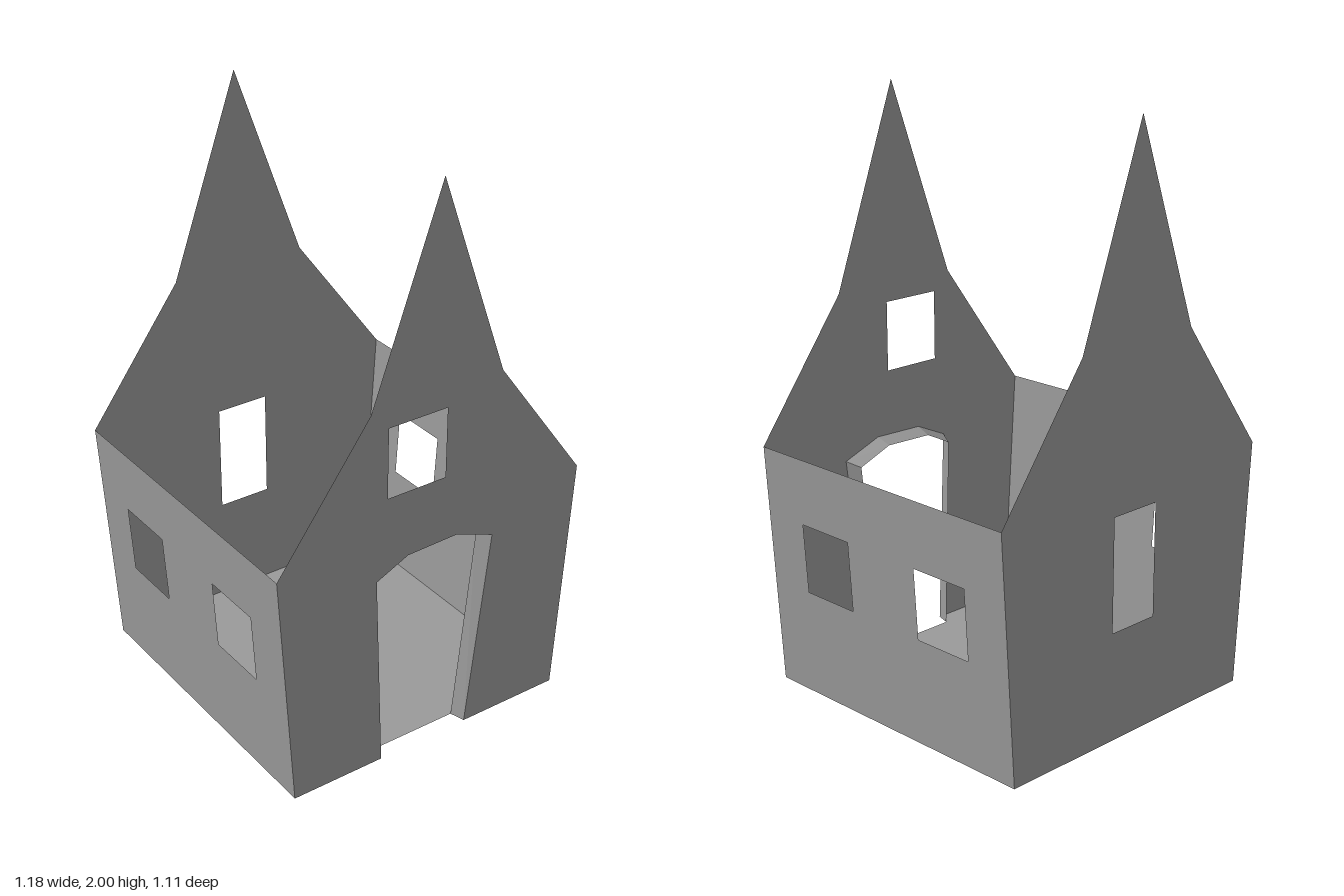
import * as THREE from 'three';

const D = 0.554;          // half depth of the house
const INNER = 0.502;      // z of the inner edge of the door reveal
const BASE = 0.533, EAVE = 0.588, EAVE_Y = 0.85;

// Door outline, left foot to right foot, at the wall face and at the inner edge
const doorOuter = [[-0.192, 0], [-0.22, 0.708], [-0.1, 0.763], [0.09, 0.768], [0.238, 0.713], [0.153, 0]];
const doorInner = [[-0.176, 0], [-0.198, 0.693], [-0.098, 0.743], [0.085, 0.748], [0.214, 0.698], [0.138, 0]];

// Gable outline from right foot over the peak to left foot
const gable = [[BASE, 0], [EAVE, EAVE_Y], [0.25, 1.307], [0, 2], [-0.25, 1.307], [-EAVE, EAVE_Y], [-BASE, 0]];

const points = list => list.map(([x, y]) => new THREE.Vector2(x, y));

function rect(x0, x1, y0, y1) {
  return new THREE.Path(points([[x0, y0], [x1, y0], [x1, y1], [x0, y1]]));
}

function panel(outline, holes = []) {
  const shape = new THREE.Shape(points(outline));
  shape.holes.push(...holes);
  return new THREE.ShapeGeometry(shape);
}

export function createModel() {
  const house = new THREE.Group();
  house.name = 'house';
  const material = new THREE.MeshStandardMaterial({
    color: 0x9a9a9a, side: THREE.DoubleSide, flatShading: true,
  });
  const add = (name, geometry) => {
    const mesh = new THREE.Mesh(geometry, material);
    mesh.name = name;
    house.add(mesh);
    return mesh;
  };

  // Front gable with the crooked doorway and an attic window
  add('frontWall', panel([...gable, ...doorOuter], [rect(-0.183, 0.038, 0.998, 1.243)])).position.z = D;

  // Back gable with one tall window
  const back = add('backWall', panel(gable, [rect(-0.095, 0.098, 0.375, 0.764)]));
  back.rotation.y = Math.PI;
  back.position.z = -D;

  // Side walls lean outward towards the eaves, two windows each
  for (const side of [1, -1]) {
    const windows = [-1, 1].map(s => rect(s * 0.268 - 0.112, s * 0.268 + 0.112, 0.375, 0.618));
    const g = panel([[-D, 0], [D, 0], [D, EAVE_Y], [-D, EAVE_Y]], windows);
    const p = g.attributes.position;
    for (let i = 0; i < p.count; i++) {
      const along = p.getX(i), y = p.getY(i);
      const x = BASE + (EAVE - BASE) * y / EAVE_Y;
      p.setXYZ(i, side * x, y, -side * along);
    }
    g.computeVertexNormals();
    add(side > 0 ? 'leftWall' : 'rightWall', g);
  }

  // Floor, notched at the doorway
  const floor = add('floor', panel([
    [-BASE, -D], [BASE, -D], [BASE, D],
    [doorOuter[5][0], D], [doorInner[5][0], INNER],
    [doorInner[0][0], INNER], [doorOuter[0][0], D], [-BASE, D],
  ]));
  floor.rotation.x = Math.PI / 2;

  // Splayed door reveal joining the two door outlines
  const positions = [], index = [];
  doorOuter.forEach(([x, y], i) => {
    positions.push(x, y, D, doorInner[i][0], doorInner[i][1], INNER);
    if (i < doorOuter.length - 1) {
      const a = i * 2;
      index.push(a, a + 1, a + 2, a + 1, a + 3, a + 2);
    }
  });
  const reveal = new THREE.BufferGeometry();
  reveal.setAttribute('position', new THREE.Float32BufferAttribute(positions, 3));
  reveal.setIndex(index);
  const flat = reveal.toNonIndexed();
  flat.computeVertexNormals();
  add('doorReveal', flat);

  return house;
}
